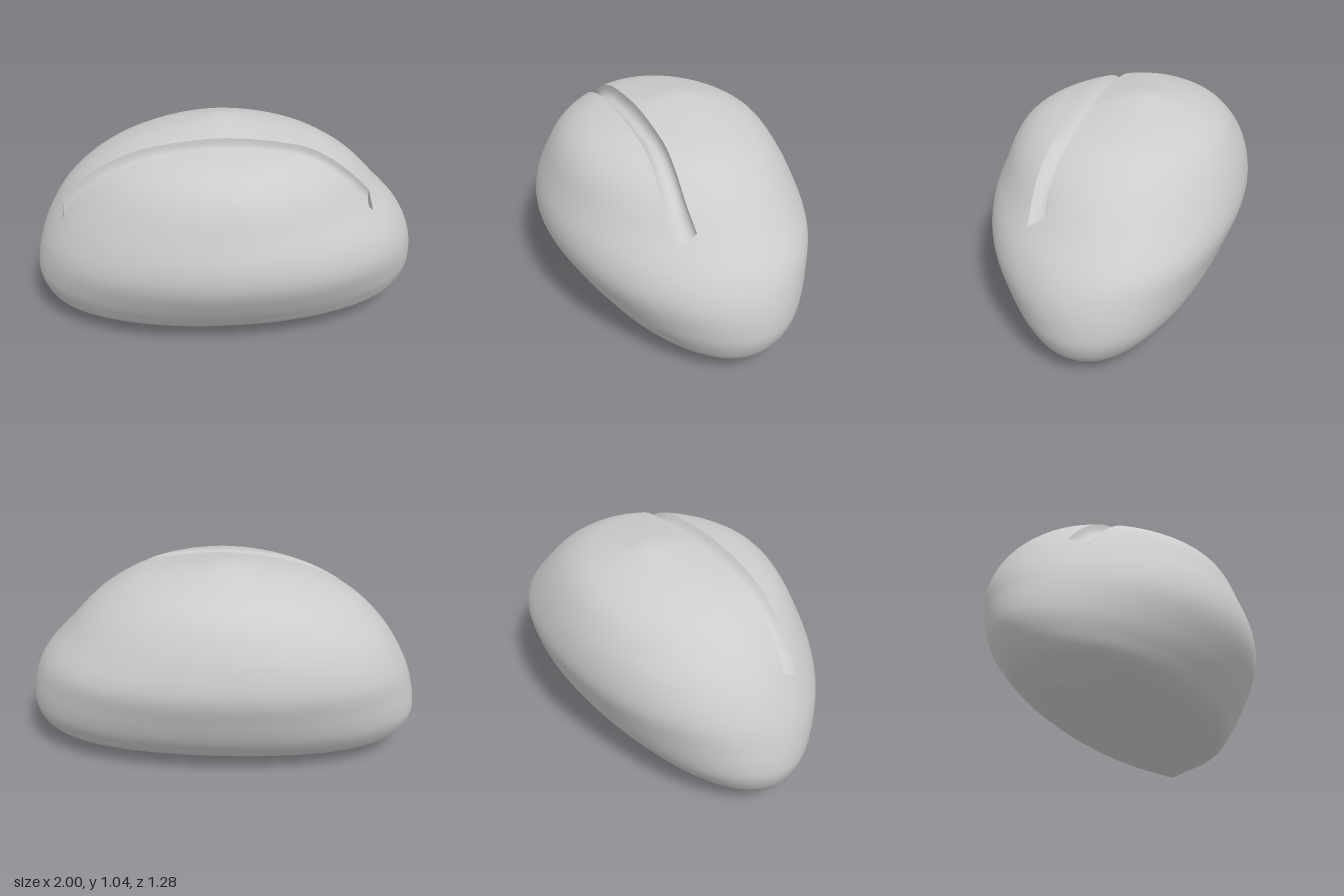
import * as THREE from 'three';
import { toCreasedNormals } from 'three/addons/utils/BufferGeometryUtils.js';

// Horizontal outlines: height, min x, max x, min z, max z
const rings = [
  [0, -0.76, 0.76, -0.07, 0.06],
  [0.05, -0.85, 0.85, -0.27, 0.26],
  [0.1, -0.925, 0.925, -0.39, 0.41],
  [0.18, -0.98, 0.98, -0.47, 0.485],
  [0.27, -1, 1, -0.535, 0.55],
  [0.42, -0.975, 0.98, -0.6, 0.63],
  [0.55, -0.925, 0.92, -0.64, 0.635],
  [0.7, -0.835, 0.785, -0.615, 0.585],
  [0.82, -0.72, 0.67, -0.56, 0.535],
  [0.9, -0.6, 0.56, -0.5, 0.47],
  [0.96, -0.46, 0.44, -0.41, 0.36],
  [1.0, -0.3, 0.27, -0.31, 0.18],
  [1.045, -0.06, 0.02, -0.16, -0.05],
];
// Groove centre line: x, z
const groove = [[-0.84, 0.055], [-0.6, 0.105], [-0.3, 0.142], [0, 0.171], [0.3, 0.2], [0.45, 0.225], [0.6, 0.247], [0.7, 0.246]];
const GROOVE_START = -0.84, GROOVE_END = 0.7, HALF_WIDTH = 0.048, DEPTH = 0.055;

// Both ends bend towards the back, the right one (-x) more
const bend = (x, y) => 0.035 * x - (0.04 + 0.06 * y) * x * x;

// Smooth interpolation of column k of a table keyed by its first column
function sample(table, v, k) {
  const last = table.length - 1;
  let i = 0;
  while (i < last - 1 && v > table[i + 1][0]) i++;
  const slope = (a, b) => (table[b][k] - table[a][k]) / (table[b][0] - table[a][0]);
  const tangent = (n) => slope(Math.max(n - 1, 0), Math.min(n + 1, last));
  const h = table[i + 1][0] - table[i][0];
  const t = THREE.MathUtils.clamp((v - table[i][0]) / h, 0, 1);
  const t2 = t * t, t3 = t2 * t;
  return (2 * t3 - 3 * t2 + 1) * table[i][k] + (t3 - 2 * t2 + t) * h * tangent(i)
    + (3 * t2 - 2 * t3) * table[i + 1][k] + (t3 - t2) * h * tangent(i + 1);
}

// Outlines are near-ellipses, fuller low down
function inside(x, y, z) {
  if (y < 0 || y > 1.045) return false;
  const [x0, x1, z0, z1] = [1, 2, 3, 4].map((k) => sample(rings, y, k));
  const u = Math.abs(2 * x - x0 - x1) / (x1 - x0);
  const w = Math.abs(2 * (z - bend(x, y)) - z0 - z1) / (z1 - z0);
  const power = 2.12 - 0.25 * y;
  return u ** power + w ** power < 1;
}

// Distance from a point to the skin, along a direction in the yz plane
function reach(x, y, z, dy, dz) {
  let a = 0, b = 1.3;
  for (let n = 0; n < 24; n++) {
    const m = (a + b) / 2;
    if (inside(x, y + dy * m, z + dz * m)) a = m; else b = m;
  }
  return a;
}

// Angles of the two groove edges around the section centre
function grooveAngles(x, yc, zc) {
  const z = sample(groove, x, 1);
  return [-HALF_WIDTH, HALF_WIDTH].map((o) =>
    Math.atan2(z + o - zc, reach(x, yc, z + o, 1, 0)));
}

function createBodyGeometry() {
  const sections = [];
  const N = 100;
  for (let i = 1; i < N; i++) sections.push({ x: -Math.cos((Math.PI * i) / N) });
  for (const x of [GROOVE_START, GROOVE_END]) sections.push({ x, cut: false }, { x, cut: true });
  for (const s of sections) if (s.cut === undefined) s.cut = s.x > GROOVE_START && s.x < GROOVE_END;
  // At each end of the groove an uncut and a cut section meet, forming the end wall
  sections.sort((a, b) => a.x - b.x || (a.x < 0 ? a.cut - b.cut : b.cut - a.cut));

  const centre = (x) => {
    const y = 0.27 + 0.2 * (1 - x * x);
    return [y, bend(x, y)];
  };
  const CUT = 14, REST = 96, M = CUT + REST;
  const points = [], index = [];
  for (const { x, cut } of sections) {
    const [yc, zc] = centre(x);
    const gx = THREE.MathUtils.clamp(x, GROOVE_START, GROOVE_END);
    const [from, to] = grooveAngles(gx, ...centre(gx));
    for (let j = 0; j < M; j++) {
      const t = j / CUT;
      const angle = j <= CUT ? from + (to - from) * t
        : to + (2 * Math.PI - (to - from)) * ((j - CUT) / REST);
      const dy = Math.cos(angle), dz = Math.sin(angle);
      let r = reach(x, yc, zc, dy, dz);
      if (cut && j < CUT) r -= DEPTH * Math.pow(4 * t * (1 - t), 0.6);
      points.push(x, yc + dy * r, zc + dz * r);
    }
  }
  const S = sections.length;
  for (let i = 0; i < S - 1; i++) {
    for (let j = 0; j < M; j++) {
      const k = (j + 1) % M, a = i * M, b = a + M;
      index.push(a + j, a + k, b + j, a + k, b + k, b + j);
    }
  }
  // Close both tips
  points.push(-1, 0.27, bend(-1, 0.27), 1, 0.27, bend(1, 0.27));
  for (let j = 0; j < M; j++) {
    const k = (j + 1) % M, e = (S - 1) * M;
    index.push(S * M, k, j, S * M + 1, e + j, e + k);
  }
  const geometry = new THREE.BufferGeometry();
  geometry.setAttribute('position', new THREE.Float32BufferAttribute(points, 3));
  geometry.setIndex(index);
  return toCreasedNormals(geometry, 0.6);
}

export function createModel() {
  const grey = new THREE.MeshStandardMaterial({ color: 0xcccccc });
  grey.name = 'light grey';
  const body = new THREE.Mesh(createBodyGeometry(), grey);
  body.name = 'groovedLoaf';
  const model = new THREE.Group();
  model.name = 'loaf';
  model.add(body);
  return model;
}
